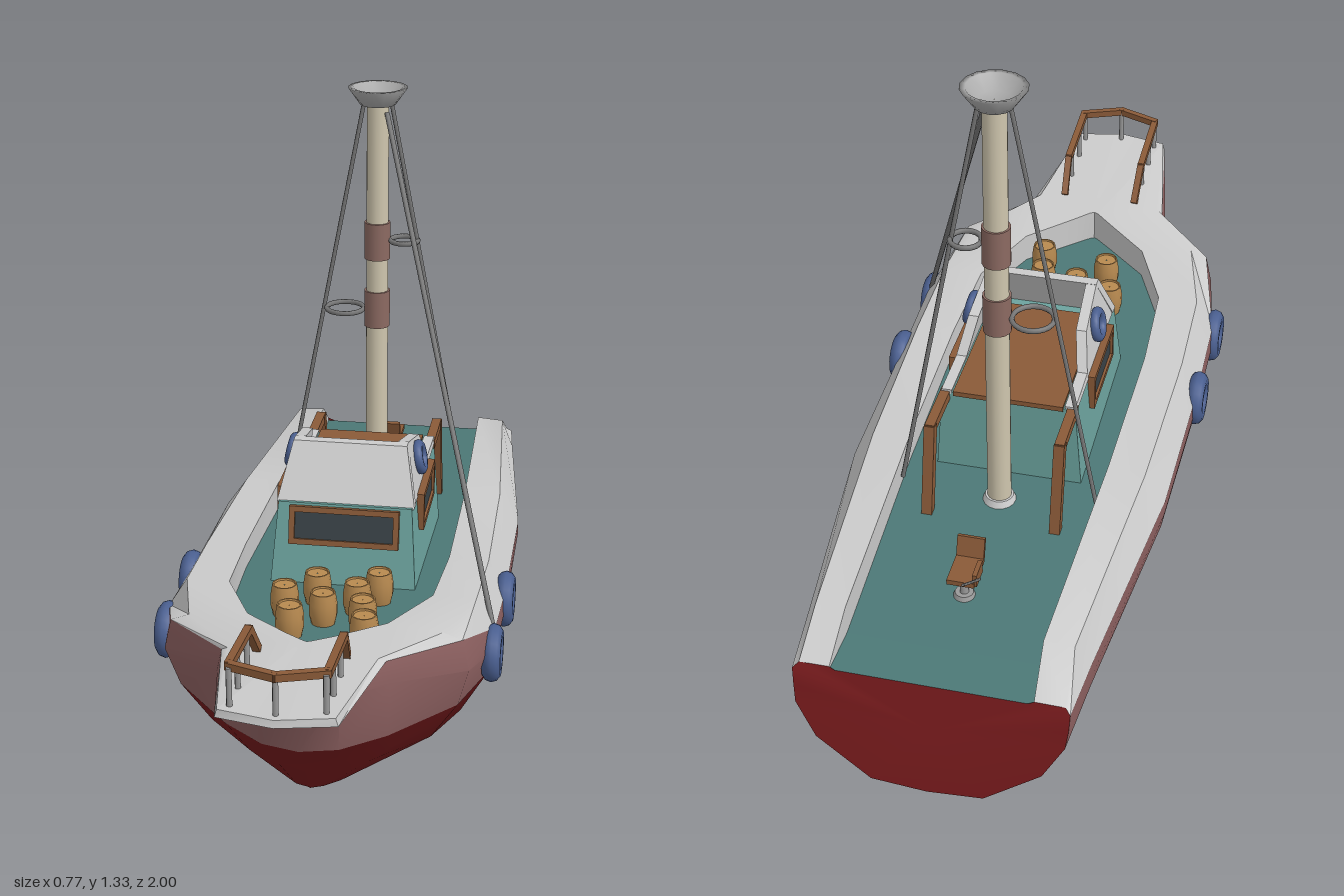
import * as THREE from 'three';
import { mergeVertices, toCreasedNormals } from 'three/addons/utils/BufferGeometryUtils.js';

const V = (x, y, z) => new THREE.Vector3(x, y, z);
const mat = (color, side = THREE.FrontSide) => new THREE.MeshStandardMaterial({ color, side });
const M = {
  red: mat(0x761a1c), pink: mat(0x8f6262), white: mat(0xcccccc), grey: mat(0x999999),
  deck: mat(0x4c7876), teal: mat(0x6ca39e), wood: mat(0x8a5a38), barrel: mat(0xb88a50),
  blue: mat(0x4a5f90), mast: mat(0xcfc6ae), band: mat(0x8c6a62), glass: mat(0x394246),
  metal: mat(0x777777), cup: mat(0xaaaaaa, THREE.DoubleSide),
};

// Hull lines: half of the boat from stern to bow, [x, y, z]
const keel = [[0, 0, -1], [0, 0, -.8], [0, 0, -.3], [0, 0, .1], [0, 0, .33], [0, .025, .48], [0, .04, .58], [0, .043, .6], [0, .045, .61]];
const bilge = [[.12, .01, -1], [.13, .01, -.8], [.14, .01, -.3], [.14, .01, .1], [.13, .01, .33], [.11, .03, .46], [.06, .045, .57], [.03, .05, .605], [0, .05, .615]];
const chine = [[.24, .09, -.985], [.26, .09, -.8], [.3, .09, -.3], [.3, .095, .1], [.29, .1, .33], [.24, .11, .47], [.13, .12, .6], [.06, .125, .65], [0, .13, .67]];
const water = [[.285, .165, -.97], [.3, .175, -.8], [.355, .2, -.3], [.36, .205, .1], [.355, .21, .33], [.3, .21, .5], [.17, .21, .65], [.08, .21, .72], [0, .21, .74]];
const flare = [[.29, .205, -.96], [.305, .215, -.8], [.362, .24, -.3], [.367, .25, .1], [.365, .26, .33], [.325, .31, .53], [.18, .345, .67], [.09, .36, .775], [0, .365, .795]];
const edge = [[.292, .245, -.955], [.305, .255, -.82], [.362, .275, -.3], [.365, .285, .1], [.362, .31, .33], [.31, .38, .53], [.17, .395, .67], [.12, .412, .97], [0, .415, 1]];
const cap = [[.28, .255, -.945], [.275, .32, -.84], [.315, .342, -.3], [.325, .358, .1], [.32, .378, .33], [.27, .395, .53], [.155, .405, .68], [.115, .43, .97], [0, .43, .995]];
const inner = [[.215, .256, -.945], [.21, .325, -.84], [.23, .347, -.3], [.235, .36, .1], [.225, .378, .33], [.15, .392, .5], [.05, .4, .59], [.01, .405, .625], [0, .405, .63]];
const deckLine = inner.map(([x, , z]) => [x, .248 + (z + .945) * .05, z]);
const deckMid = deckLine.map(([, y, z]) => [0, y, z]);

// Mirrors each line round the bow and skins between neighbouring lines
function loft(lines, crease = .6) {
  const rows = lines.map(l => [...l, ...l.slice(0, -1).reverse().map(([x, y, z]) => [-x, y, z])]);
  const n = rows[0].length, index = [];
  for (let v = 0; v < rows.length - 1; v++) {
    for (let u = 0; u < n - 1; u++) {
      const a = v * n + u, b = a + 1, c = a + n, d = c + 1;
      index.push(a, c, b, b, c, d);
    }
  }
  const g = new THREE.BufferGeometry();
  g.setAttribute('position', new THREE.Float32BufferAttribute(rows.flat(2), 3));
  g.setIndex(index);
  return toCreasedNormals(mergeVertices(g, 1e-4), crease);
}

// Moves every vertex of a geometry by a rule
function bend(g, rule) {
  const p = g.attributes.position, v = V();
  for (let i = 0; i < p.count; i++) {
    rule(v.fromBufferAttribute(p, i));
    p.setXYZ(i, v.x, v.y, v.z);
  }
  g.computeVertexNormals();
  return g;
}

export function createModel() {
  const boat = new THREE.Group();
  boat.name = 'fishingBoat';
  const add = (name, geo, material, x = 0, y = 0, z = 0, parent = boat) => {
    const m = new THREE.Mesh(geo, material);
    m.name = name;
    m.position.set(x, y, z);
    parent.add(m);
    return m;
  };
  const box = (name, w, h, d, material, x, y, z, parent) =>
    add(name, new THREE.BoxGeometry(w, h, d), material, x, y, z, parent);
  // Round rod or square beam between two points
  const rod = (name, a, b, r, material) => {
    const m = add(name, new THREE.CylinderGeometry(r, r, a.distanceTo(b), 8), material);
    m.position.lerpVectors(a, b, .5);
    m.quaternion.setFromUnitVectors(V(0, 1, 0), b.clone().sub(a).normalize());
    return m;
  };
  const beam = (name, a, b, t) => {
    const m = box(name, t, t, a.distanceTo(b) + t * .6, M.wood, 0, 0, 0);
    m.position.lerpVectors(a, b, .5);
    m.lookAt(b);
    return m;
  };

  // Hull, bulwark and deck
  add('lowerHull', loft([keel, bilge, chine, water]), M.red);
  add('upperHull', loft([water, flare, edge]), M.pink);
  add('bulwark', loft([edge, cap, inner, deckLine]), M.white);
  add('deck', loft([deckLine, deckMid]), M.deck);

  // Transom: fan over the stern ends of the hull lines
  const half = [keel, bilge, chine, water, flare, edge, cap, inner, deckLine].map(l => l[0]);
  const rim = [...half, ...half.slice(1).reverse().map(([x, y, z]) => [-x, y, z])];
  const transom = new THREE.BufferGeometry();
  transom.setAttribute('position', new THREE.Float32BufferAttribute([0, .15, -.972, ...rim.flat()], 3));
  transom.setIndex(rim.flatMap((_, i) => [0, (i + 1) % rim.length + 1, i + 1]));
  add('transom', toCreasedNormals(transom, .6), M.red);

  // Cabin with sloping front and sides
  add('cabin', bend(new THREE.BoxGeometry(2, 1, 1), v => {
    const t = v.y + .5;
    v.set(v.x * (.168 - .016 * t), .27 + .215 * t, v.z > 0 ? .172 - .045 * t : -.29);
  }), M.teal);
  box('cabinRoof', .25, .012, .36, M.wood, 0, .486, -.115);

  // Wheelhouse windscreen and swept side wings
  add('windscreen', bend(new THREE.BoxGeometry(2, 1, .025), v => {
    const t = v.y + .5;
    v.set(v.x * (.157 - .027 * t), .483 + .122 * t, v.z + .108 - .07 * t);
  }), M.white);
  const wing = new THREE.Shape([[.12, .48], [.05, .604], [.02, .604], [-.11, .57], [-.165, .495], [-.29, .492], [-.29, .48]]
    .map(p => new THREE.Vector2(...p)));
  for (const s of [1, -1]) {
    const g = new THREE.ExtrudeGeometry(wing, { depth: .024, bevelEnabled: false });
    g.translate(0, 0, -.012).rotateY(-Math.PI / 2);
    add('wheelhouseWing', bend(g, v => { v.x += s * (.143 - (v.y - .48) * .2); }), M.white);
  }

  // Framed windows
  const frameWindow = (w, h) => {
    const g = new THREE.Group();
    g.name = 'cabinWindow';
    box('windowGlass', w - .02, h - .02, .008, M.glass, 0, 0, 0, g);
    for (const s of [1, -1]) {
      box('windowRail', w, .013, .02, M.wood, 0, s * (h - .013) / 2, 0, g);
      box('windowStile', .013, h, .02, M.wood, s * (w - .013) / 2, 0, 0, g);
    }
    boat.add(g);
    return g;
  };
  const front = frameWindow(.25, .088);
  front.position.set(0, .437, .141);
  front.rotation.x = -.2;
  for (const s of [1, -1]) {
    const w = frameWindow(.21, .088);
    w.position.set(s * .16, .442, -.06);
    w.rotation.set(0, s * Math.PI / 2, 0);
  }

  for (const s of [1, -1]) {
    // Life rings on the wheelhouse and fenders along the hull
    const ring = (name, R, r, x, y, z, lean) => {
      const m = add(name, new THREE.TorusGeometry(R, r, 10, 24), M.blue, s * x, y, z);
      m.rotation.set(0, Math.PI / 2, s * lean, 'ZYX');
    };
    ring('lifeRing', .029, .012, .149, .543, -.04, .2);
    ring('hullFender', .043, .021, .365, .265, .1, 0);
    ring('hullFender', .043, .021, .36, .265, .36, 0);

    // Wooden handrails behind the cabin
    beam('aftRailTop', V(s * .145, .476, -.28), V(s * .145, .476, -.41), .022);
    beam('aftRailLeg', V(s * .145, .476, -.41), V(s * .145, .275, -.45), .024);

    // Bow rail with posts
    const path = [V(s * .092, .415, .69), V(s * .096, .488, .75), V(s * .096, .51, .94), V(0, .512, .975)];
    for (let i = 0; i < 3; i++) beam('bowRail', path[i], path[i + 1], .016);
    for (const z of [.78, .87, .95])
      rod('bowRailPost', V(s * .094, .405, z), V(s * .094, .49 + (z - .75) * .1, z), .006, M.grey);

    // Side stays
    rod('sideStay', V(s * .033, 1.285, -.375), V(s * .222, .3, -.38), .005, M.metal);
  }
  rod('bowRailPost', V(0, .42, .972), V(0, .51, .972), .006, M.grey);
  rod('foreStay', V(.025, 1.27, -.35), V(.358, .31, .335), .006, M.metal);

  // Mast with foot, bands, basin and hoops
  const mz = -.375;
  const drum = (name, top, bottom, y0, y1, m, x = 0, z = mz, open = false) =>
    add(name, new THREE.CylinderGeometry(top, bottom, y1 - y0, 16, 1, open), m, x, (y0 + y1) / 2, z);
  drum('mast', .026, .027, .27, 1.29, M.mast);
  drum('mastFoot', .032, .042, .265, .29, M.white);
  drum('mastBand', .031, .031, .74, .83, M.band);
  drum('mastBand', .031, .031, .91, 1, M.band);
  const bowl = [[.001, 1.285], [.042, 1.285], [.07, 1.325], [.058, 1.325], [.035, 1.297], [.001, 1.297]];
  add('mastBasin', new THREE.LatheGeometry(bowl.map(p => new THREE.Vector2(...p)), 16), M.cup, 0, 0, mz);
  for (const [x, y, R] of [[-.078, .78, .045], [.065, .957, .033]])
    add('mastHoop', new THREE.TorusGeometry(R, .006, 6, 24).rotateX(Math.PI / 2), M.metal, x, y, mz);

  // Barrels on the foredeck
  const barrel = [[.001, 0], [.026, 0], [.031, .022], [.031, .05], [.027, .075], [.024, .075], [.023, .071], [.001, .071]]
    .map(p => new THREE.Vector2(...p));
  for (const [x, z] of [[.095, .24], [-.04, .265], [.055, .305], [-.1, .34], [-.01, .37], [.08, .39], [-.07, .445], [.095, .47]])
    add('barrel', toCreasedNormals(new THREE.LatheGeometry(barrel, 14), .6), M.barrel, x, .248 + (z + .945) * .05, z);

  // Fishing chair and rod
  drum('chairPost', .008, .01, .26, .33, M.grey, 0, -.68);
  drum('chairFoot', .02, .025, .258, .27, M.grey, 0, -.68);
  box('chairSeat', .06, .012, .085, M.wood, -.005, .333, -.685);
  box('chairBack', .06, .055, .01, M.wood, -.005, .355, -.638).rotation.x = .3;
  box('chairArm', .01, .03, .05, M.wood, -.035, .345, -.7);
  rod('fishingRod', V(-.04, .33, -.7), V(-.04, .43, -.83), .003, M.metal);
  return boat;
}
